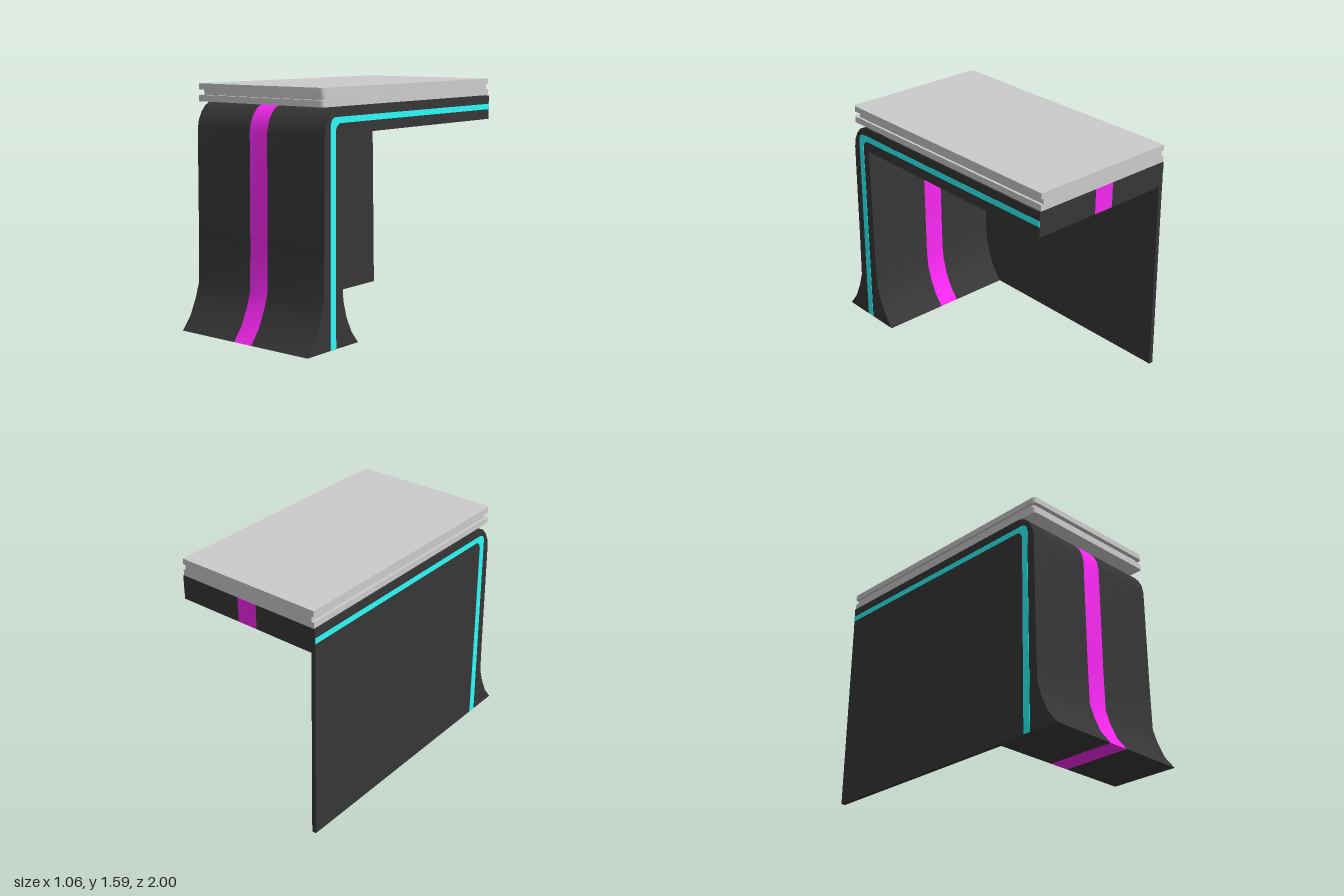
import * as THREE from 'three';
import { toCreasedNormals } from 'three/addons/utils/BufferGeometryUtils.js';

const dark = new THREE.MeshStandardMaterial({ color: 0x363636 });
const magenta = new THREE.MeshStandardMaterial({ color: 0xf527f0 });
const cyan = new THREE.MeshStandardMaterial({ color: 0x2dfafa });
const grey = new THREE.MeshStandardMaterial({ color: 0xcccccc });

const HALF = 0.53, STRIPE = 0.073, BACK = -0.975;

// Inner edge of the front wall, from the underside down to the floor, as (z, y)
const innerEdge = [[0.68, 1.31], [0.67, 0.4], [0.66, 0.29], [0.63, 0.18], [0.58, 0.08], [0.515, 0]];

function mesh(name, geometry, material) {
  const m = new THREE.Mesh(toCreasedNormals(geometry, 0.5), material);
  m.name = name;
  return m;
}

// Extrudes a (z, y) side profile along x from x0 to x1
function extrudeX(name, shape, x0, x1, material) {
  const g = new THREE.ExtrudeGeometry(shape, { depth: x1 - x0, bevelEnabled: false, curveSegments: 8 });
  g.rotateY(-Math.PI / 2).translate(x1, 0, 0);
  return mesh(name, g, material);
}

const polygon = (points) => new THREE.Shape(points.map(([z, y]) => new THREE.Vector2(z, y)));

// Flat layer of the worktop, with rounded front corners
function topLayer(name, halfWidth, front, y0, y1) {
  const r = 0.025, s = new THREE.Shape();
  s.moveTo(-halfWidth, -front + r);
  s.quadraticCurveTo(-halfWidth, -front, -halfWidth + r, -front);
  s.lineTo(halfWidth - r, -front);
  s.quadraticCurveTo(halfWidth, -front, halfWidth, -front + r);
  s.lineTo(halfWidth, -BACK);
  s.lineTo(-halfWidth, -BACK);
  s.closePath();
  const g = new THREE.ExtrudeGeometry(s, { depth: y1 - y0, bevelEnabled: false, curveSegments: 4 });
  g.rotateX(-Math.PI / 2).translate(0, y0, 0);
  return mesh(name, g, grey);
}

export function createModel() {
  const model = new THREE.Group();
  model.name = 'counter';

  // Body: flared front wall bending into the top, split by a centre stripe
  const body = polygon([
    [1, 0], [0.93, 0.09], [0.88, 0.2], [0.848, 0.3], [0.842, 0.6], [0.836, 1.3], [0.825, 1.36],
    [0.8, 1.41], [0.765, 1.45], [0.725, 1.47], [0.69, 1.475], [BACK, 1.475], [BACK, 1.31], ...innerEdge,
  ]);
  model.add(
    extrudeX('bodyRight', body, -HALF, -STRIPE, dark),
    extrudeX('centreStripe', body, -STRIPE, STRIPE, magenta),
    extrudeX('bodyLeft', body, STRIPE, HALF, dark),
  );

  // Side panel closing the right end only
  const panel = polygon([...innerEdge, [-1, 0], [BACK, 1.31]]);
  model.add(extrudeX('sidePanel', panel, -HALF, -0.5, dark));

  // Light strip following the bend on both ends
  const strip = new THREE.Shape();
  strip.moveTo(0.785, 0.002);
  strip.lineTo(0.78, 1.36);
  strip.quadraticCurveTo(0.78, 1.416, 0.72, 1.416);
  strip.lineTo(BACK, 1.416);
  strip.lineTo(BACK, 1.378);
  strip.lineTo(0.69, 1.378);
  strip.quadraticCurveTo(0.735, 1.37, 0.735, 1.31);
  strip.lineTo(0.732, 0.002);
  strip.closePath();
  for (const [name, x] of [['lightStripLeft', HALF], ['lightStripRight', -HALF]]) {
    model.add(extrudeX(name, strip, x - 0.002, x + 0.002, cyan));
  }

  // Worktop: two boards with a recessed core
  model.add(
    topLayer('worktopLower', 0.522, 0.84, 1.477, 1.518),
    topLayer('worktopCore', 0.505, 0.81, 1.518, 1.553),
    topLayer('worktopUpper', 0.522, 0.84, 1.553, 1.592),
  );
  return model;
}
